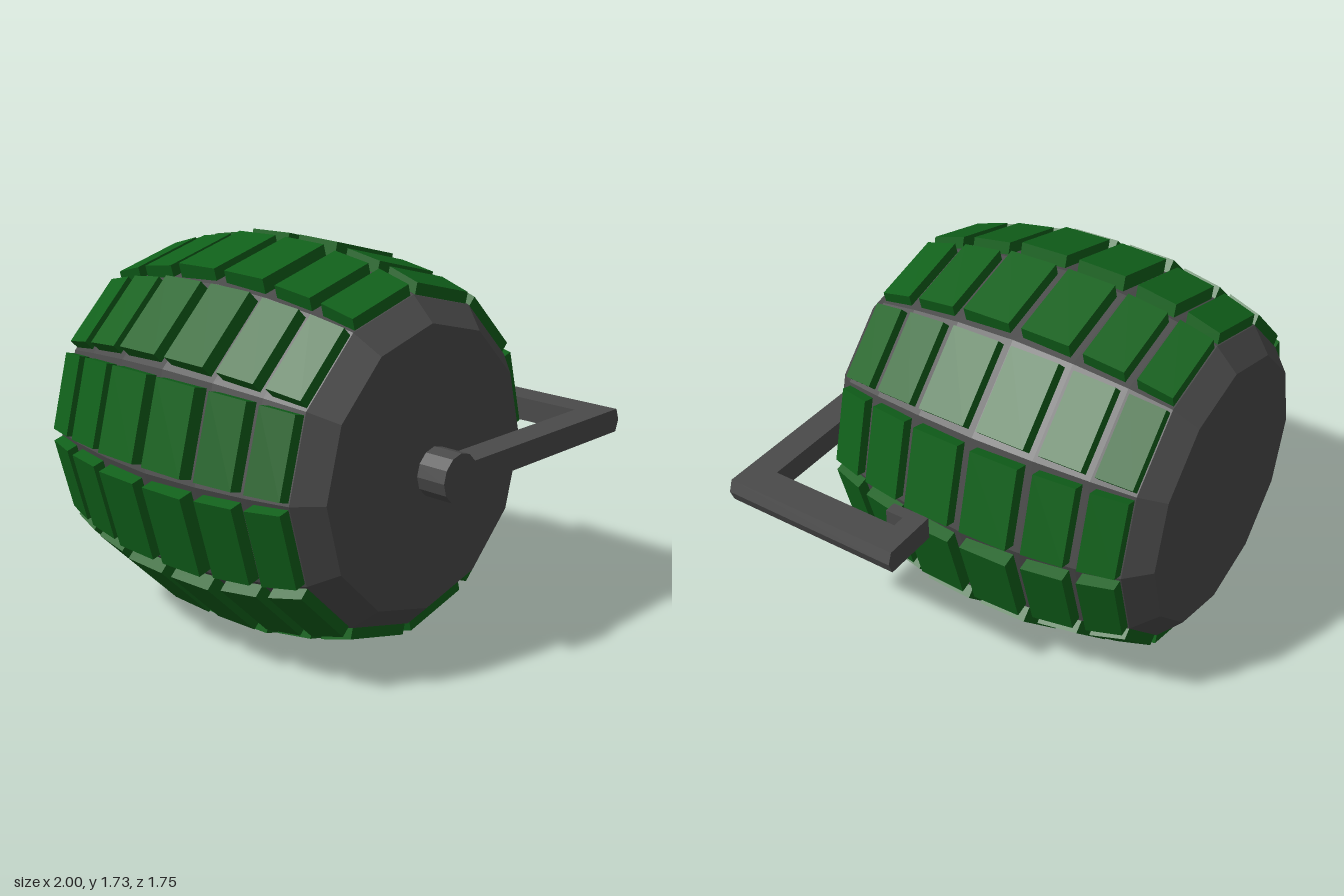
import * as THREE from 'three';

const CX = -0.14, CY = 0.87, MID = -0.085; // barrel axis and its widest z

const dark = new THREE.MeshStandardMaterial({ color: 0x4a4a4a, flatShading: true });
const green = new THREE.MeshStandardMaterial({ color: 0x10601a, flatShading: true });

function part(name, geometry, material) {
  const mesh = new THREE.Mesh(geometry, material);
  mesh.name = name;
  return mesh;
}

// One raised plate: a box whose corners follow the barrel's bulge
function plateGeometry(z0, z1, r0, r1) {
  const g = new THREE.BoxGeometry(1, 1, 1);
  const p = g.attributes.position;
  for (let i = 0; i < p.count; i++) {
    const front = p.getZ(i) > 0;
    const r = front ? r1 : r0;
    const halfWidth = 0.183 - 0.13 * (0.845 - r);
    p.setXYZ(i,
      Math.sign(p.getX(i)) * halfWidth,
      p.getY(i) > 0 ? r : r - 0.09,
      front ? z1 : z0);
  }
  g.computeVertexNormals();
  return g;
}

export function createModel() {
  const model = new THREE.Group();

  // Twelve-sided barrel with chamfered rims, running along z
  const profile = [
    [0, -0.88], [0.605, -0.88], [0.705, -0.785], [0.755, -0.6], [0.798, -0.36], [0.82, MID],
    [0.798, 0.19], [0.755, 0.43], [0.705, 0.615], [0.605, 0.715], [0, 0.742],
  ].map(([r, y]) => new THREE.Vector2(r, y));
  const body = part('body', new THREE.LatheGeometry(profile, 12).rotateX(Math.PI / 2), dark);
  body.position.set(CX, CY, 0);
  model.add(body);

  // Plates: three rows mirrored about the widest point, twelve per row
  const plates = new THREE.Group();
  plates.name = 'plates';
  plates.position.set(CX, CY, 0);
  const rows = [ // near and far distance from the middle, and outer radius at each
    [0.03, 0.25, 0.844, 0.838],
    [0.31, 0.49, 0.819, 0.79],
    [0.545, 0.695, 0.775, 0.731],
  ];
  for (const [a, b, ra, rb] of rows) {
    for (const side of [1, -1]) {
      const g = side > 0
        ? plateGeometry(MID + a, MID + b, ra, rb)
        : plateGeometry(MID - b, MID - a, rb, ra);
      for (let k = 0; k < 12; k++) {
        const plate = part('plate', g, green);
        plate.rotation.z = (k + 0.5) * Math.PI / 6;
        plates.add(plate);
      }
    }
  }
  model.add(plates);

  // Hub on the front face
  const hub = part('hub', new THREE.CylinderGeometry(0.105, 0.105, 0.155, 12).rotateX(Math.PI / 2), dark);
  hub.position.set(CX, CY, 0.7975);
  model.add(hub);

  // Bent lever: outline in x and z, thickness along y
  const outline = new THREE.Shape([
    [CX, 0.743], [0.84, 0.743], [0.84, 0.12], [0.785, 0.12], [0.785, 0.205], [0.73, 0.205],
    [0.73, 0.03], [1, 0.03], [1, 0.872], [CX, 0.872],
  ].map(([x, z]) => new THREE.Vector2(x, z)));
  const leverGeometry = new THREE.ExtrudeGeometry(outline, { depth: 0.105, steps: 2, bevelEnabled: false });
  // Shallow ridge along the outer side
  const p = leverGeometry.attributes.position;
  for (let i = 0; i < p.count; i++) {
    if (p.getX(i) > 0.99 && Math.abs(p.getZ(i) - 0.0525) > 0.01) p.setX(i, 0.98);
  }
  leverGeometry.rotateX(Math.PI / 2).translate(0, CY + 0.0525, 0);
  leverGeometry.computeVertexNormals();
  model.add(part('lever', leverGeometry, dark));

  return model;
}
